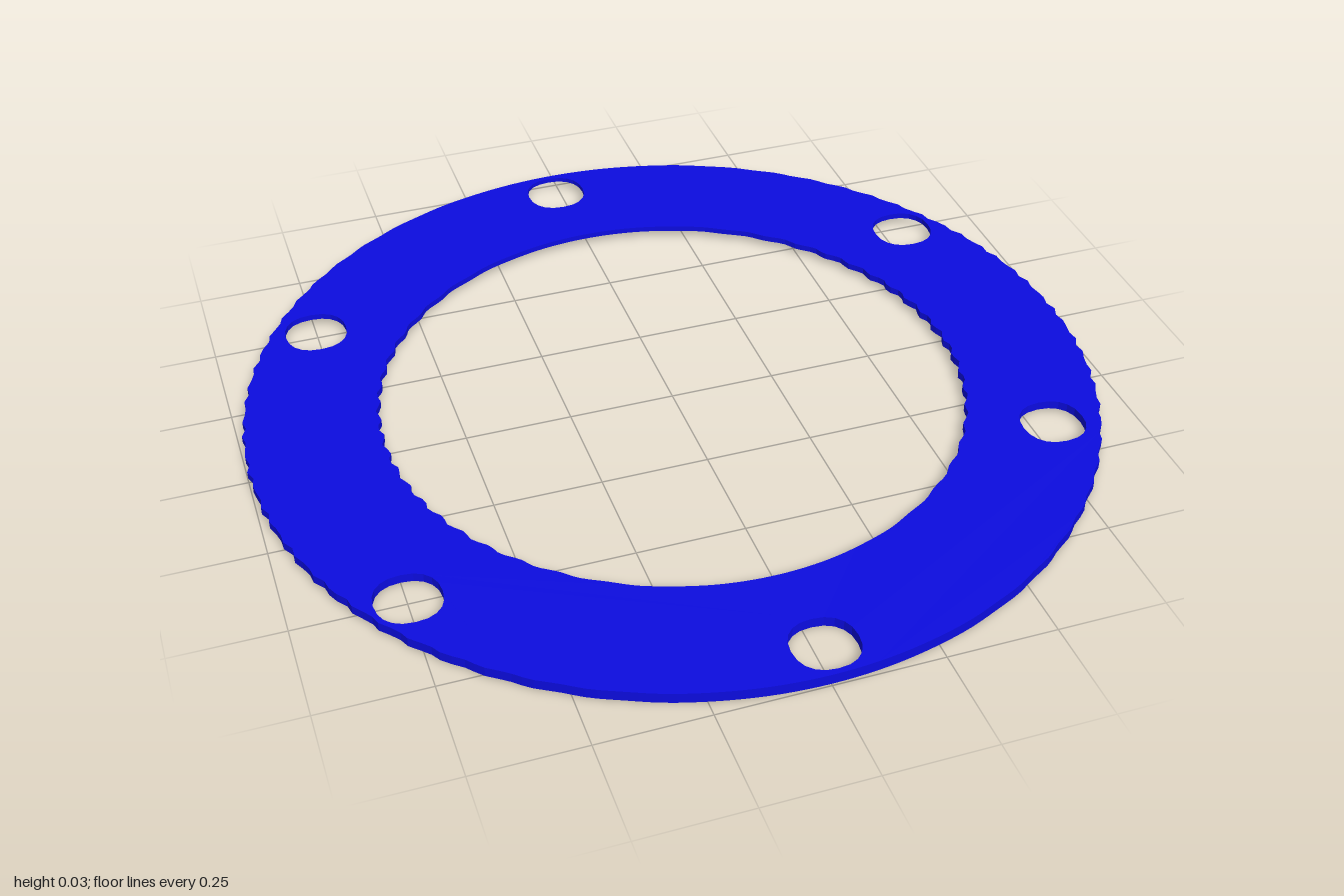
import * as THREE from 'three';

// Closed loop of points around an ellipse-like outline
function loop(count, fn) {
  return Array.from({ length: count }, (_, i) => fn((i / count) * Math.PI * 2));
}

// Ring outline whose sides carry a fine ripple
function ringOutline(radius, ripple) {
  return loop(240, (a) => {
    const x = Math.cos(a) * radius, y = Math.sin(a) * radius;
    return new THREE.Vector2(x + Math.sign(x) * ripple * Math.abs(Math.cos(a)) * Math.cos(y * 100), y);
  });
}

// Bolt hole: a slightly squared circle
function holeOutline(cx, cz, r) {
  const soft = (v) => Math.sign(v) * Math.pow(Math.abs(v), 2 / 2.3);
  return loop(20, (a) => new THREE.Vector2(cx + r * soft(Math.cos(a)), -cz + r * soft(Math.sin(a))));
}

export function createModel() {
  const group = new THREE.Group();
  group.name = 'gasket';

  // Flat ring with a central opening and six bolt holes
  const shape = new THREE.Shape(ringOutline(0.995, 0.005));
  shape.holes.push(new THREE.Path(ringOutline(0.688, 0.006)));
  const holes = [
    [-0.025, -0.908], [0.785, -0.45], [0.788, 0.405],
    [0.02, 0.908], [-0.75, 0.512], [-0.755, -0.48],
  ];
  for (const [x, z] of holes) shape.holes.push(new THREE.Path(holeOutline(x, z, 0.074)));

  const geometry = new THREE.ExtrudeGeometry(shape, { depth: 1, bevelEnabled: false });
  geometry.rotateX(-Math.PI / 2);

  // The sheet rises and thins towards the back
  const p = geometry.attributes.position;
  for (let i = 0; i < p.count; i++) {
    const back = (1 - p.getZ(i)) / 2;
    const bottom = 0.006 + 0.024 * back;
    const top = 0.031 + 0.01 * back;
    p.setY(i, p.getY(i) > 0.5 ? top : bottom);
  }
  geometry.computeVertexNormals();

  const ring = new THREE.Mesh(geometry, new THREE.MeshStandardMaterial({ color: 0x0c0ce0 }));
  ring.name = 'gasketRing';
  group.add(ring);
  return group;
}
